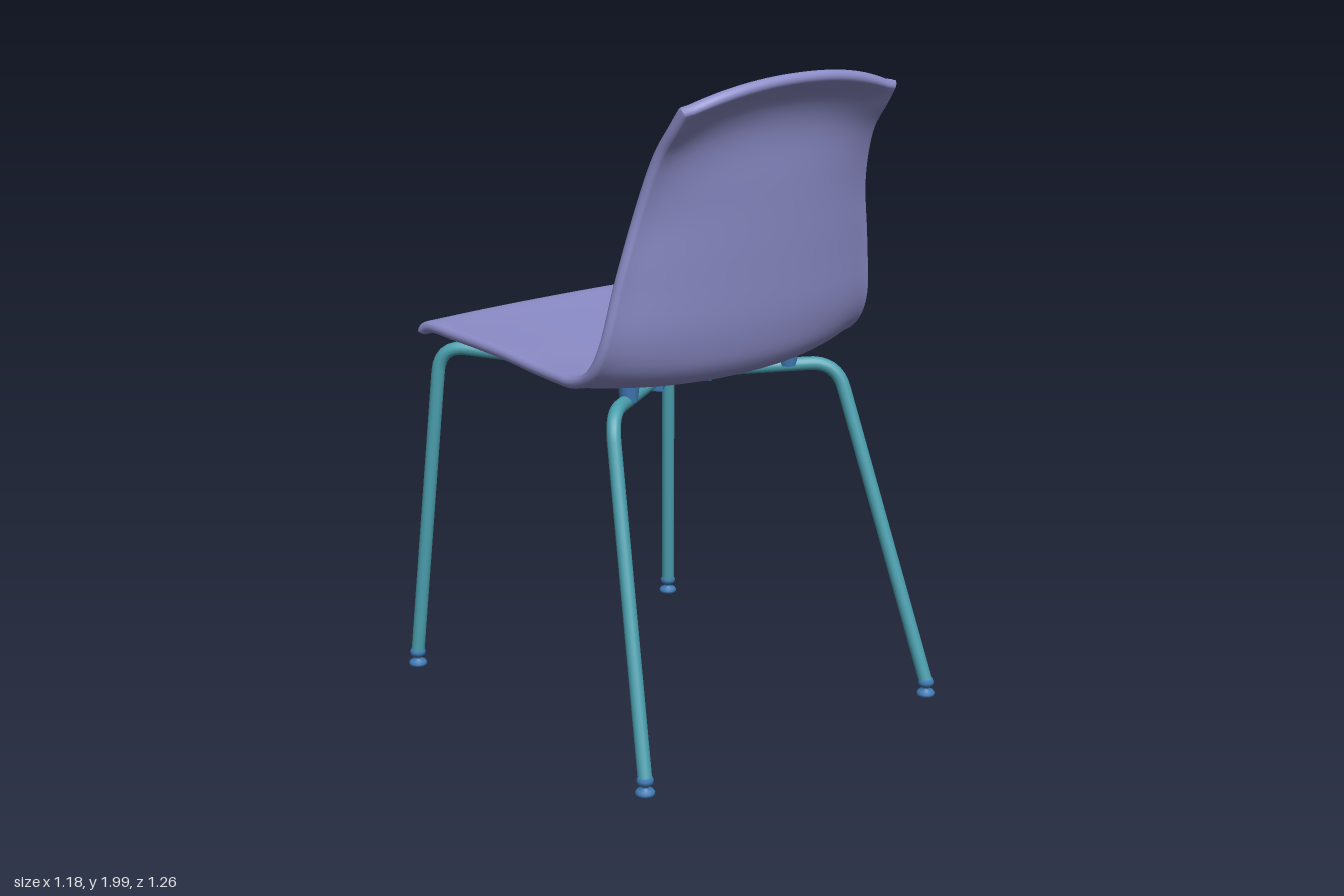
import * as THREE from 'three';

const V = (x, y, z) => new THREE.Vector3(x, y, z);

// Shell ribs from front lip to top of the backrest:
// centre z, y, then side edge x, z, y
const RIBS = [
  [-0.62, 1.1, 0.495, -0.59, 1.1],
  [-0.58, 1.116, 0.495, -0.55, 1.12],
  [-0.45, 1.11, 0.495, -0.42, 1.122],
  [-0.2, 1.097, 0.49, -0.18, 1.115],
  [0, 1.087, 0.495, 0, 1.105],
  [0.15, 1.08, 0.505, 0.12, 1.105],
  [0.29, 1.08, 0.515, 0.21, 1.112],
  [0.38, 1.12, 0.518, 0.29, 1.15],
  [0.42, 1.22, 0.512, 0.34, 1.23],
  [0.445, 1.42, 0.478, 0.372, 1.42],
  [0.465, 1.65, 0.433, 0.405, 1.62],
  [0.485, 1.83, 0.41, 0.46, 1.78],
  [0.53, 1.92, 0.405, 0.52, 1.865],
  [0.61, 1.985, 0.4, 0.562, 1.925],
];
const HALF_THICKNESS = 0.018;

// Sample positions from lo to hi, with a rounded rim (height h from 0 to 1) at each end
function rimSamples(lo, hi, rLo, rHi, inner) {
  const steps = 5, out = [];
  for (let i = 0; i < steps; i++) {
    const a = (i / steps) * Math.PI / 2;
    out.push({ p: lo + rLo * (1 - Math.cos(a)), h: Math.sin(a) });
  }
  for (let i = 0; i <= inner; i++) {
    out.push({ p: lo + rLo + (hi - rHi - lo - rLo) * i / inner, h: 1 });
  }
  for (let i = steps - 1; i >= 0; i--) {
    const a = (i / steps) * Math.PI / 2;
    out.push({ p: hi - rHi * (1 - Math.cos(a)), h: Math.sin(a) });
  }
  return out;
}

// One-piece seat and backrest: a curved sheet with thickness and round rims
function shellGeometry() {
  const centre = new THREE.CatmullRomCurve3(RIBS.map(r => V(0, r[1], r[0])));
  const edge = new THREE.CatmullRomCurve3(RIBS.map(r => V(r[2], r[4], r[3])));
  const surface = (u, v) => {
    const c = centre.getPoint(v), e = edge.getPoint(v), a = Math.abs(u);
    // the bowl flattens out into a narrow flange at its sides
    const q = a < 0.88 ? a : 0.88 + 0.06 * (1 - ((1 - a) / 0.12) ** 2);
    const p = c.clone().lerp(e, (q / 0.94) ** 2.2);
    p.x = e.x * u;
    return p;
  };
  const us = rimSamples(-1, 1, 0.036, 0.036, 32);
  const vs = rimSamples(0, 1, 0.03, 0.014, 64);
  const nu = us.length, nv = vs.length, top = [], bottom = [], index = [];
  const E = 0.002;
  for (const v of vs) {
    for (const u of us) {
      const p = surface(u.p, v.p);
      const du = surface(Math.min(1, u.p + E), v.p).sub(surface(Math.max(-1, u.p - E), v.p));
      const dv = surface(u.p, Math.min(1, v.p + E)).sub(surface(u.p, Math.max(0, v.p - E)));
      const n = dv.cross(du).normalize().multiplyScalar(HALF_THICKNESS * u.h * v.h);
      top.push(...p.clone().add(n).toArray());
      bottom.push(...p.sub(n).toArray());
    }
  }
  // upper and lower sheets share the vertices on the border
  const under = (i, j) => (i === 0 || j === 0 || i === nv - 1 || j === nu - 1 ? 0 : nu * nv) + i * nu + j;
  for (let i = 0; i < nv - 1; i++) {
    for (let j = 0; j < nu - 1; j++) {
      const a = i * nu + j, b = a + nu, c = a + 1, d = b + 1;
      index.push(a, b, c, b, d, c);
      const A = under(i, j), B = under(i + 1, j), C = under(i, j + 1), D = under(i + 1, j + 1);
      index.push(A, C, B, B, C, D);
    }
  }
  const g = new THREE.BufferGeometry();
  g.setAttribute('position', new THREE.Float32BufferAttribute(top.concat(bottom), 3));
  g.setIndex(index);
  g.computeVertexNormals();
  return g;
}

// Leg: bar from the hub, a rounded knee, then down to the foot
function legGeometry(hub, knee, foot) {
  const bend = 0.085;
  const k1 = knee.clone().add(hub.clone().sub(knee).setLength(bend));
  const k2 = knee.clone().add(foot.clone().sub(knee).setLength(bend));
  const path = new THREE.CurvePath();
  path.add(new THREE.LineCurve3(hub, k1));
  path.add(new THREE.QuadraticBezierCurve3(k1, knee, k2));
  path.add(new THREE.LineCurve3(k2, foot));
  return new THREE.TubeGeometry(path, 80, 0.021, 16, false);
}

// Four-pointed hub plate with hollow sides
function hubGeometry() {
  const tips = [[0.12, 0.085], [0.095, 0.115], [-0.095, 0.115], [-0.12, 0.085],
    [-0.12, -0.085], [-0.095, -0.115], [0.095, -0.115], [0.12, -0.085]];
  const s = new THREE.Shape();
  s.moveTo(...tips[0]);
  for (let i = 0; i < 8; i += 2) {
    s.lineTo(...tips[i + 1]);
    const side = i % 4 === 0 ? [0, tips[i + 1][1] * 0.1] : [tips[i + 1][0] * 0.1, 0];
    s.quadraticCurveTo(...side, ...tips[(i + 2) % 8]);
  }
  const g = new THREE.ExtrudeGeometry(s, {
    depth: 0.022, bevelSize: 0.006, bevelThickness: 0.006, bevelSegments: 3, curveSegments: 12,
  });
  return g.rotateX(-Math.PI / 2);
}

export function createModel() {
  const group = new THREE.Group();
  const purple = new THREE.MeshStandardMaterial({ color: 0x8c8cc8 });
  const teal = new THREE.MeshStandardMaterial({ color: 0x4a9fae });
  const blue = new THREE.MeshStandardMaterial({ color: 0x4079b3 });
  const add = (name, geometry, material, pos = V(0, 0, 0)) => {
    const m = new THREE.Mesh(geometry, material);
    m.name = name;
    m.position.copy(pos);
    group.add(m);
    return m;
  };

  add('seatShell', shellGeometry(), purple);
  add('hub', hubGeometry(), blue, V(0, 1.0, -0.01)).rotation.x = 0.07;

  // Glide foot and the pad between bar and seat
  const footGeo = new THREE.LatheGeometry([[0, 0], [0.027, 0], [0.029, 0.008], [0.024, 0.015],
    [0.011, 0.02], [0.011, 0.027], [0.023, 0.034], [0.025, 0.045], [0.021, 0.054], [0, 0.056],
  ].map(p => new THREE.Vector2(...p)), 20);
  const padGeo = new THREE.CylinderGeometry(0.033, 0.026, 0.06, 20);

  const ends = [
    { name: 'back', hub: [0.06, 1.012, 0.045], knee: [0.437, 1.03, 0.3], foot: [0.56, 0.04, 0.6], pad: [0.31, 1.055, 0.22] },
    { name: 'front', hub: [0.06, 1.012, -0.06], knee: [0.455, 1.062, -0.528], foot: [0.518, 0.04, -0.605], pad: [0.31, 1.074, -0.36] },
  ];
  for (const e of ends) {
    for (const side of [1, -1]) {
      const at = ([x, y, z]) => V(x * side, y, z);
      const label = e.name + (side > 0 ? 'Left' : 'Right');
      add(label + 'Leg', legGeometry(at(e.hub), at(e.knee), at(e.foot)), teal);
      add(label + 'Foot', footGeo, blue, V(e.foot[0] * side, 0, e.foot[2]));
      add(label + 'Pad', padGeo, blue, at(e.pad));
    }
  }
  return group;
}
